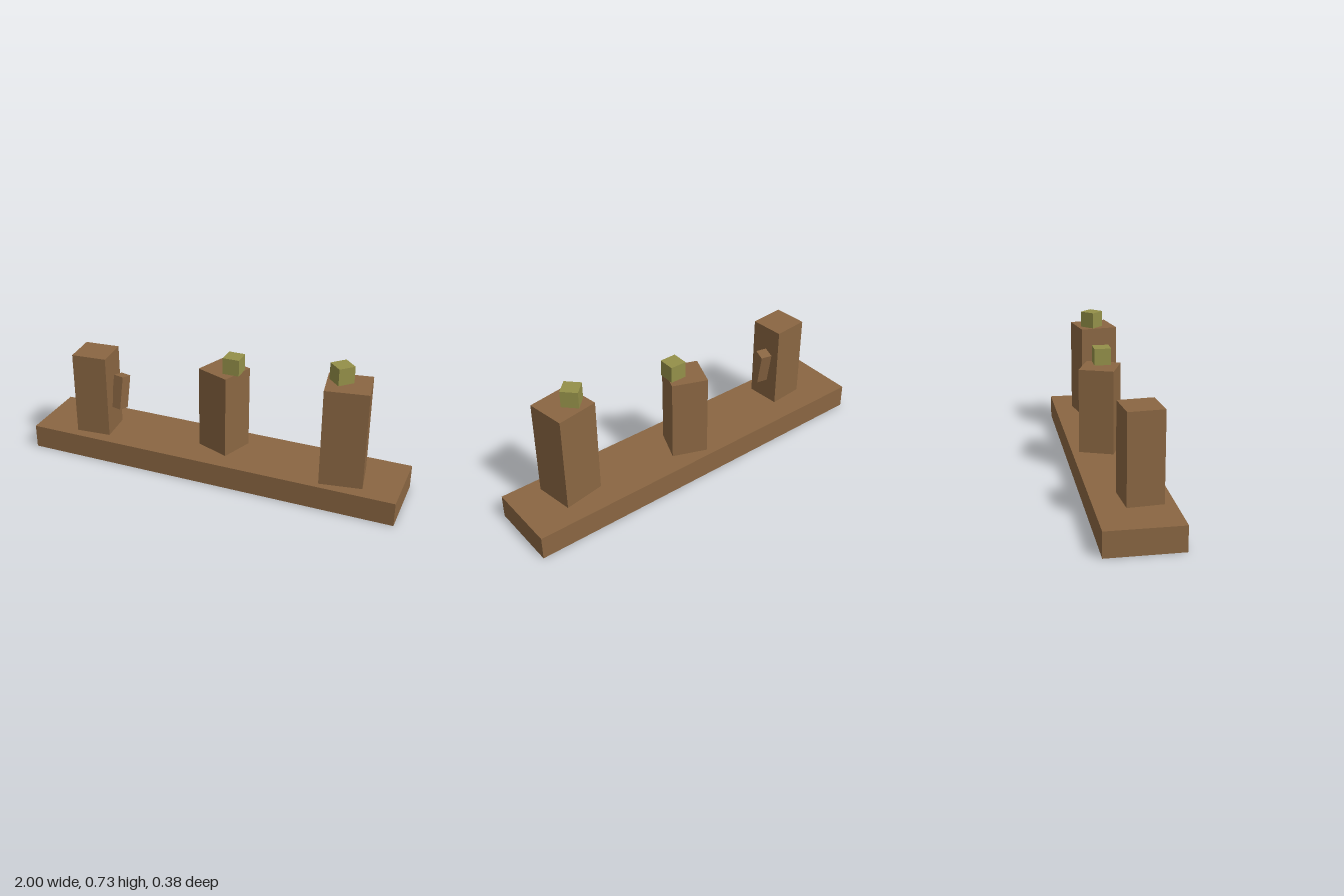
import * as THREE from 'three';

const BASE_TOP = 0.126;

export function createModel() {
  const group = new THREE.Group();

  const wood = new THREE.MeshStandardMaterial({ color: 0x8a6642, side: THREE.DoubleSide });
  wood.name = 'brown wood';
  const olive = new THREE.MeshStandardMaterial({ color: 0x949049 });
  olive.name = 'olive';

  // Box standing on y = 0 of its own frame, optionally without its underside
  function standingBox(w, h, d, open) {
    const geo = new THREE.BoxGeometry(w, h, d).translate(0, h / 2, 0);
    if (open) {
      const index = Array.from(geo.index.array);
      index.splice(18, 6); // underside face
      geo.setIndex(index);
      geo.clearGroups();
    }
    return geo;
  }

  function add(name, geo, material, x, y, z, yaw = 0, pitch = 0) {
    const mesh = new THREE.Mesh(geo, material);
    mesh.name = name;
    mesh.position.set(x, y, z);
    mesh.rotation.set(pitch, yaw, 0, 'YXZ');
    group.add(mesh);
  }

  // Hollow plinth, open underneath
  add('base', standingBox(2, BASE_TOP, 0.375, true), wood, 0, 0, 0);

  // Three twisted posts: name, x, z, width, depth, top height, yaw
  const posts = [
    ['rightPost', -0.677, 0.04, 0.186, 0.178, 0.574, 0.08],
    ['middlePost', 0.028, -0.032, 0.186, 0.182, 0.568, -0.37],
    ['leftPost', 0.696, 0.0355, 0.218, 0.205, 0.64, 0.162],
  ];
  for (const [name, x, z, w, d, top, yaw] of posts) {
    add(name, standingBox(w, top - BASE_TOP, d, true), wood, x, BASE_TOP, z, yaw);
  }

  // Small cubes resting on two posts
  const cube = standingBox(0.087, 0.087, 0.087, false);
  add('middleCube', cube, olive, 0.087, 0.568, -0.014);
  add('leftCube', cube, olive, 0.655, 0.64, 0.02, Math.PI / 4);

  // Leaning block fixed to the side of the right post
  add('sideBlock', new THREE.BoxGeometry(0.06, 0.181, 0.063), wood, -0.549, 0.35, 0.02, -0.22, -0.19);

  return group;
}
